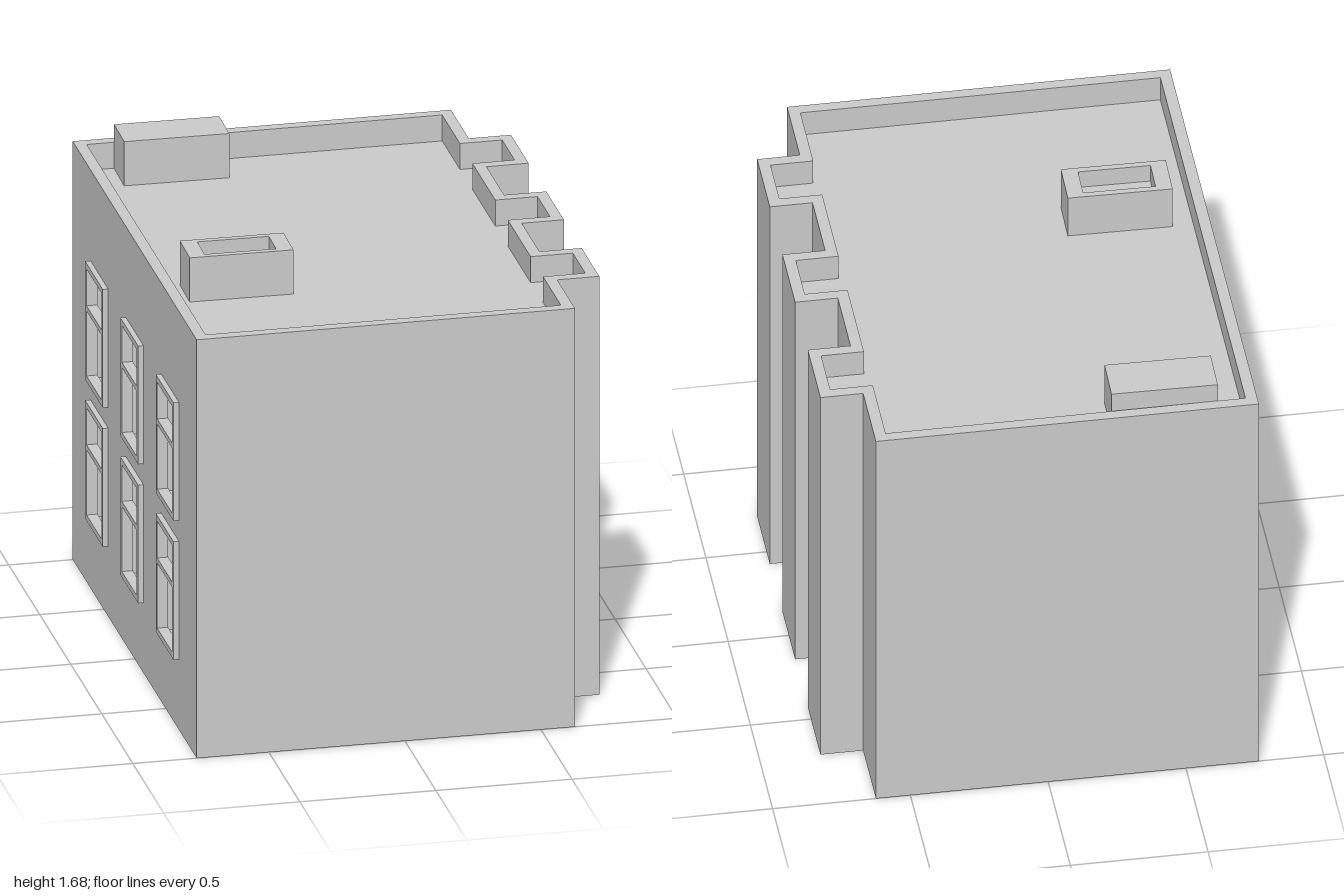
import * as THREE from 'three';

const material = new THREE.MeshStandardMaterial({ color: 0xcccccc, flatShading: true, side: THREE.DoubleSide });
const TOP = 1.61, ROOF = 1.51;
const BAYS = [0.57, 0, -0.57];       // pilasters on the left side, windows on the other
const GAPS = [0.285, -0.285];        // windows between the pilasters
const SILLS = [0.27, 0.805];         // lower edge of each window row
const WIN_W = 0.285, WIN_H = 0.455, CUT = 0.275;
const WEST = -0.765, EAST = 0.625;

function add(parent, name, geometry) {
  const mesh = new THREE.Mesh(geometry, material);
  mesh.name = name;
  parent.add(mesh);
  return mesh;
}

function rect(Type, x0, y0, x1, y1) {
  const s = new Type();
  s.moveTo(x0, y0);
  s.lineTo(x1, y0);
  s.lineTo(x1, y1);
  s.lineTo(x0, y1);
  s.closePath();
  return s;
}

// Plan of the building, [x, z], shrunk by an inset
function plan(inset) {
  const e = EAST - inset, out = 0.78 - inset, h = 0.1425 - inset;
  const pts = [[WEST + inset, 1 - inset], [e, 1 - inset]];
  for (const z of BAYS) pts.push([e, z + h], [out, z + h], [out, z - h], [e, z - h]);
  pts.push([e, -1 + inset], [WEST + inset, -1 + inset]);
  return pts;
}

const toShape = (pts) => new THREE.Shape(pts.map(([x, z]) => new THREE.Vector2(x, -z)));

function flat(shape, y) {
  return new THREE.ShapeGeometry(shape).rotateX(-Math.PI / 2).translate(0, y, 0);
}

// Upright panels along a plan; windowZ lists the window centres for an edge
function walls(parent, name, pts, y0, windowsFor) {
  pts.forEach((p, i) => {
    const q = pts[(i + 1) % pts.length];
    const dx = q[0] - p[0], dz = q[1] - p[1];
    const shape = rect(THREE.Shape, 0, y0, Math.hypot(dx, dz), TOP);
    for (const z of windowsFor(p, q)) {
      const c = Math.abs(z - p[1]);
      for (const y of SILLS) {
        shape.holes.push(rect(THREE.Path, c - CUT / 2, y + 0.005, c + CUT / 2, y + WIN_H - 0.005));
      }
    }
    const wall = add(parent, name, new THREE.ShapeGeometry(shape));
    wall.position.set(p[0], 0, p[1]);
    wall.rotation.y = Math.atan2(-dz, dx);
  });
}

// Two-pane frame in front of a recess that reaches into the building
function makeWindow() {
  const g = new THREE.Group();
  g.name = 'window';
  const w = WIN_W / 2, pane = 0.12;
  const shape = rect(THREE.Shape, -w, 0, w, WIN_H);
  shape.holes.push(rect(THREE.Path, -pane, 0.022, pane, 0.272));
  shape.holes.push(rect(THREE.Path, -pane, 0.292, pane, 0.433));
  const frame = new THREE.ExtrudeGeometry(shape, { depth: 0.04, bevelEnabled: false });
  add(g, 'windowFrame', frame.translate(0, 0, -0.02));

  // box without its outward face
  const recess = new THREE.BoxGeometry(CUT, WIN_H - 0.01, 0.1);
  const index = Array.from(recess.index.array);
  index.splice(24, 6);
  recess.setIndex(index);
  recess.clearGroups();
  add(g, 'windowRecess', recess.translate(0, WIN_H / 2, -0.05));
  return g;
}

export function createModel() {
  const model = new THREE.Group();
  model.name = 'building';
  const outer = plan(0), inner = plan(0.042);

  // Outer walls, open underneath
  walls(model, 'wall', outer, 0, (p, q) => {
    if (p[0] !== q[0]) return [];
    if (p[0] === WEST) return BAYS;
    if (p[0] === EAST) return GAPS.filter((z) => z < p[1] && z > q[1]);
    return [];
  });

  // Parapet and sunken roof
  walls(model, 'parapetInside', inner, ROOF, () => []);
  const rim = toShape(outer);
  rim.holes.push(toShape(inner));
  add(model, 'parapetRim', flat(rim, TOP));
  add(model, 'roof', flat(toShape(inner), ROOF));

  // Windows on both long sides
  for (const [x, centres, turn] of [[WEST, BAYS, -1], [EAST, GAPS, 1]]) {
    for (const z of centres) for (const y of SILLS) {
      const win = makeWindow();
      win.position.set(x, y, z);
      win.rotation.y = turn * Math.PI / 2;
      model.add(win);
    }
  }

  // Hollow roof vent
  const ventShape = rect(THREE.Shape, -0.19, -0.086, 0.19, 0.086);
  ventShape.holes.push(rect(THREE.Path, -0.131, -0.062, 0.131, 0.062));
  const vent = new THREE.Group();
  vent.name = 'roofVent';
  add(vent, 'ventWalls', new THREE.ExtrudeGeometry(ventShape, { depth: 0.17, bevelEnabled: false }).rotateX(-Math.PI / 2));
  add(vent, 'ventFloor', flat(rect(THREE.Shape, -0.131, -0.062, 0.131, 0.062), 0.1));
  vent.position.set(-0.459, ROOF, 0.301);
  vent.rotation.y = -0.015;
  model.add(vent);

  // Solid roof block
  const block = add(model, 'roofBlock', new THREE.BoxGeometry(0.385, 0.17, 0.174));
  block.position.set(-0.432, ROOF + 0.085, -0.865);
  block.rotation.y = -0.015;

  return model;
}
